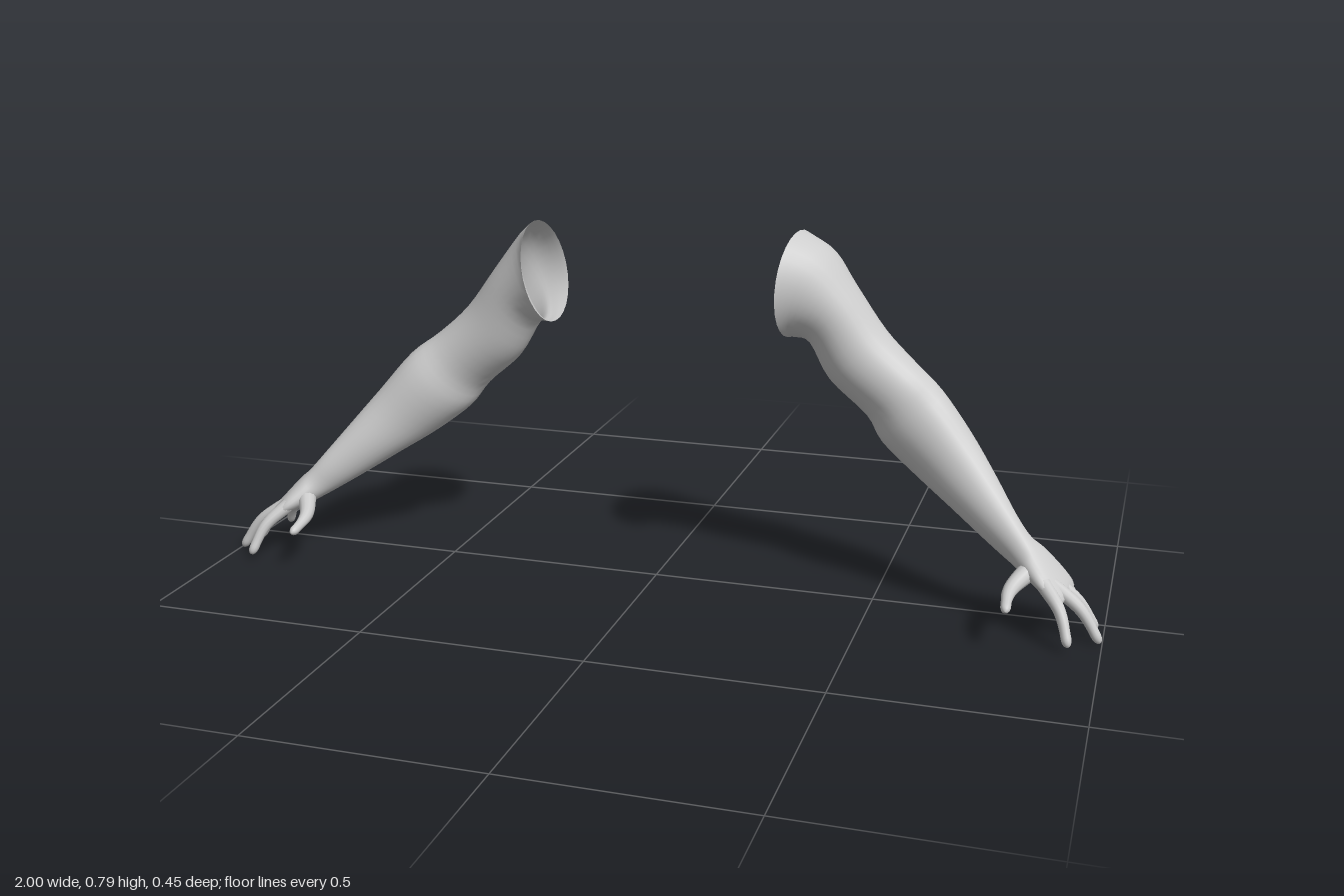
import * as THREE from 'three';

const V = (x, y, z) => new THREE.Vector3(x, y, z);
const material = new THREE.MeshStandardMaterial({ color: 0xcccccc, side: THREE.DoubleSide });

// Arm cross-sections, shoulder to knuckles:
// centre x, y, z | half-height vector x, y | half-depth vector x, z
const SECTIONS = [
  [0.326, 0.657, -0.125, 0.036, 0.098, -0.012, 0.100],
  [0.370, 0.612, -0.128, 0.050, 0.064, 0, 0.084],
  [0.427, 0.527, -0.124, 0.060, 0.058, 0, 0.075],
  [0.503, 0.457, -0.121, 0.053, 0.062, 0.012, 0.075],
  [0.555, 0.405, -0.098, 0.064, 0.064, 0.02, 0.077],
  [0.630, 0.332, -0.076, 0.059, 0.053, 0.02, 0.075],
  [0.700, 0.268, -0.036, 0.050, 0.038, 0.02, 0.064],
  [0.765, 0.210, 0.006, 0.035, 0.030, 0.018, 0.049],
  [0.810, 0.173, 0.028, 0.025, 0.027, 0.008, 0.042],
  [0.846, 0.148, 0.038, 0.017, 0.027, -0.008, 0.053],
  [0.880, 0.122, 0.050, 0.012, 0.021, -0.012, 0.066],
  [0.910, 0.099, 0.056, 0.008, 0.014, -0.010, 0.066],
  [0.922, 0.089, 0.057, 0.004, 0.007, -0.008, 0.056],
];

// Base, middle and tip of each digit, then base and tip radius
const DIGITS = {
  thumb: [[0.842, 0.138, 0.060], [0.808, 0.113, 0.132], [0.807, 0.094, 0.205], 0.023, 0.011],
  indexFinger: [[0.872, 0.122, 0.095], [0.912, 0.080, 0.137], [0.935, 0.018, 0.173], 0.017, 0.011],
  middleFinger: [[0.885, 0.118, 0.078], [0.950, 0.073, 0.092], [0.996, 0.006, 0.103], 0.017, 0.011],
  ringFinger: [[0.885, 0.116, 0.048], [0.943, 0.073, 0.044], [0.984, 0.010, 0.037], 0.016, 0.011],
  littleFinger: [[0.875, 0.120, 0.015], [0.915, 0.083, -0.008], [0.942, 0.030, -0.032], 0.015, 0.010],
};

// Skin a list of elliptical frames { c, u, s }, mirrored when side is -1
function loft(name, frames, sides, side) {
  const positions = [], index = [];
  frames.forEach(({ c, u, s }, i) => {
    for (let j = 0; j < sides; j++) {
      const a = (j / sides) * Math.PI * 2;
      const p = c.clone().addScaledVector(u, Math.cos(a)).addScaledVector(s, Math.sin(a));
      positions.push(p.x * side, p.y, p.z);
      if (i === 0) continue;
      const k = (j + 1) % sides, row = i * sides, prev = row - sides;
      const quad = [prev + j, prev + k, row + j, prev + k, row + k, row + j];
      index.push(...(side > 0 ? quad : quad.reverse()));
    }
  });
  const geometry = new THREE.BufferGeometry();
  geometry.setAttribute('position', new THREE.Float32BufferAttribute(positions, 3));
  geometry.setIndex(index);
  geometry.computeVertexNormals();
  const mesh = new THREE.Mesh(geometry, material);
  mesh.name = name;
  return mesh;
}

// Smoothly interpolated sections from the open shoulder to the closed palm
function armFrames(shoulder) {
  const rows = [shoulder, ...SECTIONS];
  const smooth = (pick) => new THREE.CatmullRomCurve3(rows.map(pick), false, 'catmullrom', 0.5);
  const centre = smooth((r) => V(r[0], r[1], r[2]));
  const up = smooth((r) => V(r[3], r[4], 0));
  const across = smooth((r) => V(r[5], 0, r[6]));
  const frames = [], steps = (rows.length - 1) * 4;
  for (let i = 0; i <= steps; i++) {
    const t = i / steps;
    frames.push({ c: centre.getPoint(t), u: up.getPoint(t), s: across.getPoint(t) });
  }
  const end = frames[steps];
  frames.push({ c: end.c.clone().add(V(0.004, -0.004, 0)), u: V(0, 0, 0), s: V(0, 0, 0) });
  return frames;
}

// Tapered, round-tipped sections along a digit
function digitFrames([base, mid, tip, r0, r1], ref) {
  const curve = new THREE.CatmullRomCurve3([base, mid, tip].map((p) => V(...p)));
  const frames = [];
  for (let i = 0; i <= 20; i++) {
    const t = 1 - (1 - i / 20) ** 1.5;
    const cap = Math.max(0, (t - 0.88) / 0.12);
    const r = THREE.MathUtils.lerp(r0, r1, Math.min(1, t * 1.3)) * Math.sqrt(Math.max(0, 1 - cap * cap));
    const d = curve.getTangent(t);
    const s = ref.clone().addScaledVector(d, -ref.dot(d)).normalize();
    const u = s.clone().cross(d);
    frames.push({ c: curve.getPoint(t), u: u.multiplyScalar(r), s: s.multiplyScalar(r) });
  }
  return frames;
}

function buildArm(name, side, shoulder, shift) {
  const arm = new THREE.Group();
  arm.name = name;
  arm.position.z = shift;
  arm.add(loft('armAndPalm', armFrames(shoulder), 28, side));
  for (const [digit, data] of Object.entries(DIGITS)) {
    const ref = digit === 'thumb' ? V(-1, 0, 0) : V(0, 0, 1);
    arm.add(loft(digit, digitFrames(data, ref), 12, side));
  }
  return arm;
}

export function createModel() {
  const model = new THREE.Group();
  model.name = 'pairOfArms';
  // The two shoulder openings are cut at slightly different angles
  model.add(buildArm('leftArm', 1, [0.287, 0.680, -0.112, 0.006, 0.119, -0.022, 0.115], 0));
  model.add(buildArm('rightArm', -1, [0.298, 0.675, -0.118, 0.024, 0.115, 0.010, 0.112], 0.016));
  return model;
}
